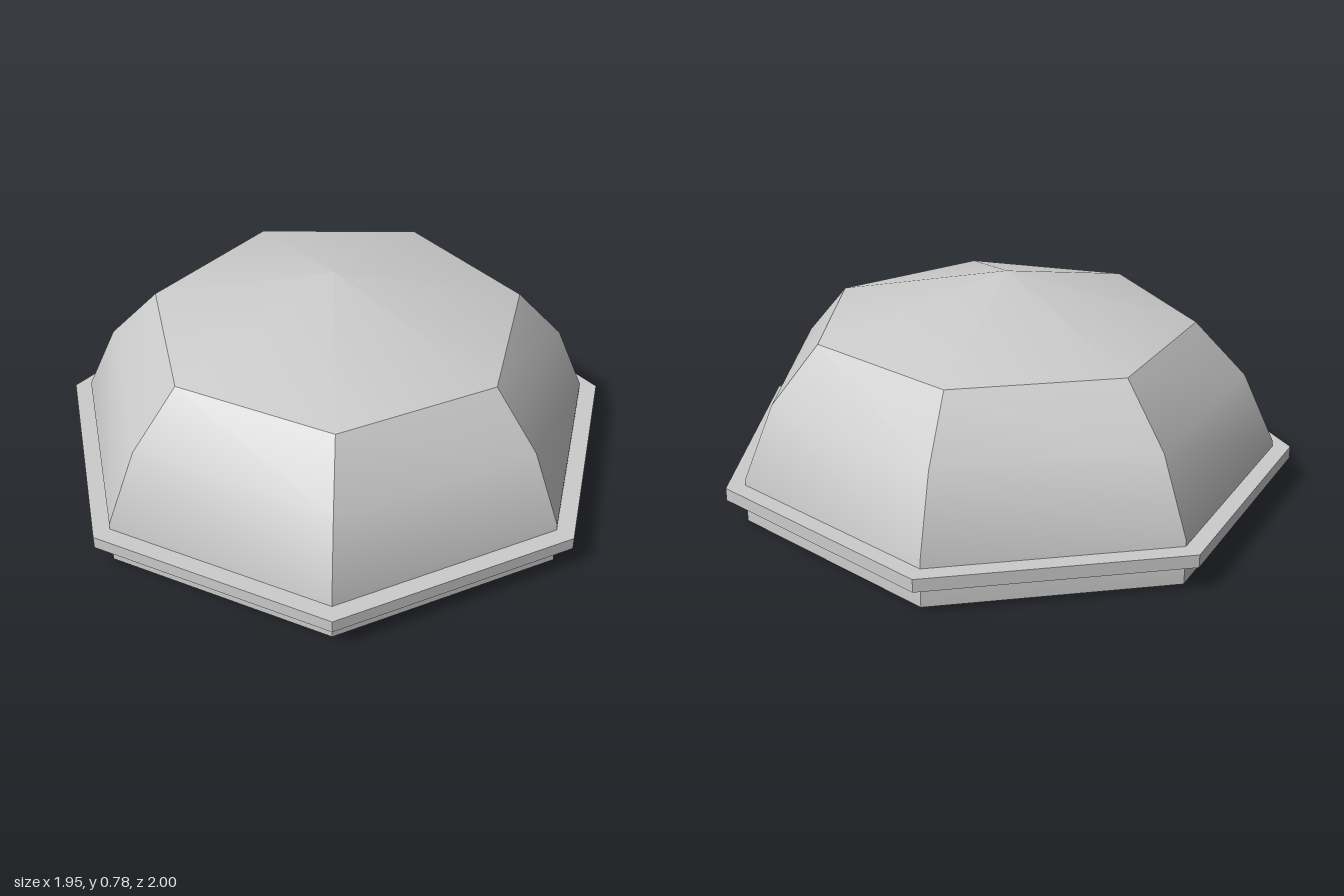
import * as THREE from 'three';
import { toCreasedNormals } from 'three/addons/utils/BufferGeometryUtils.js';

const SIDES = 7;
const material = new THREE.MeshStandardMaterial({ color: 0xcccccc });

// Lofts heptagonal rings [y, radius, centreX], listed from bottom to top.
// A radius of 0 closes the end in a point.
function loft(name, rings) {
  const corner = ([y, r, cx], i) => {
    const a = (i % SIDES) * Math.PI * 2 / SIDES;
    return [cx + r * Math.cos(a), y, r * Math.sin(a)];
  };
  const positions = [];
  for (let k = 0; k < rings.length - 1; k++) {
    const low = rings[k], high = rings[k + 1];
    for (let i = 0; i < SIDES; i++) {
      const a = corner(low, i), b = corner(low, i + 1);
      const c = corner(high, i + 1), d = corner(high, i);
      if (high[1] > 0) positions.push(...a, ...d, ...c);
      if (low[1] > 0) positions.push(...a, ...c, ...b);
    }
  }
  const geometry = new THREE.BufferGeometry();
  geometry.setAttribute('position', new THREE.Float32BufferAttribute(positions, 3));
  const mesh = new THREE.Mesh(toCreasedNormals(geometry, 0.5), material);
  mesh.name = name;
  return mesh;
}

export function createModel() {
  const group = new THREE.Group();
  group.name = 'heptagonalDome';

  // Closed body: flat floor, upright wall, curved panels and shallow roof
  group.add(loft('dome', [
    [0, 0, -0.053],
    [0, 0.96, -0.053],
    [0.155, 0.96, -0.053],
    [0.41, 0.848, -0.047],
    [0.603, 0.673, -0.04],
    [0.78, 0, -0.053],
  ]));

  // Projecting band around the wall
  group.add(loft('rimBand', [
    [0.09, 0, -0.051],
    [0.09, 1.0257, -0.051],
    [0.135, 1.0257, -0.051],
    [0.135, 0, -0.051],
  ]));
  return group;
}
